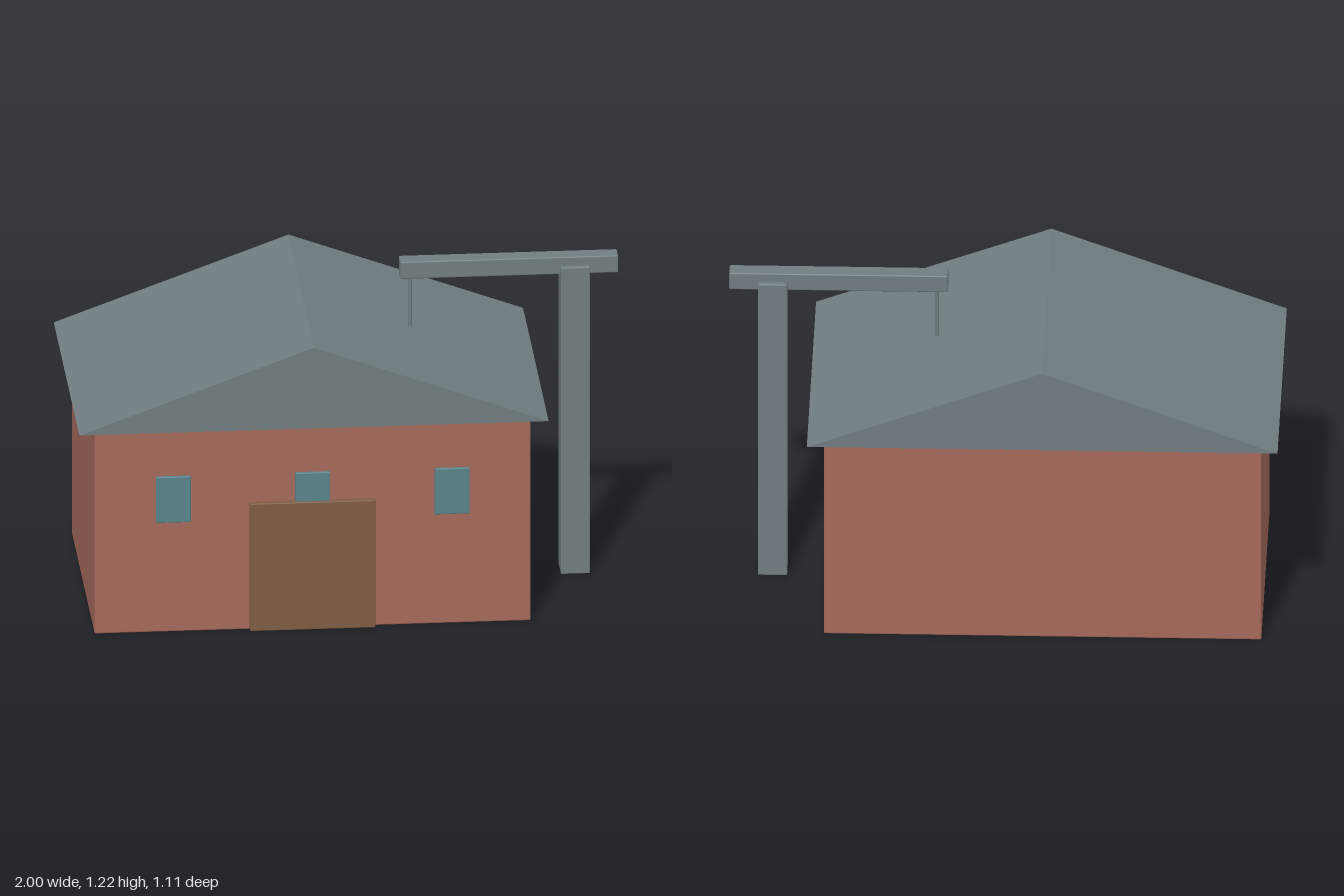
import * as THREE from 'three';
import { RoundedBoxGeometry } from 'three/addons/geometries/RoundedBoxGeometry.js';

function material(name, color) {
  const m = new THREE.MeshStandardMaterial({ color });
  m.name = name;
  return m;
}

export function createModel() {
  const brick = material('brick', 0xa6695b);
  const slate = material('slate grey', 0x717d81);
  const wood = material('door wood', 0x7e5c41);
  const glass = material('window glass', 0x58848b);

  const model = new THREE.Group();
  model.name = 'hoistHouse';

  const add = (name, geometry, mat) => {
    const mesh = new THREE.Mesh(geometry, mat);
    mesh.name = name;
    model.add(mesh);
    return mesh;
  };

  // Box with lightly softened edges, given by its extents on each axis
  const block = (name, mat, [x0, x1], [y0, y1], [z0, z1], bevel) => {
    const g = new RoundedBoxGeometry(x1 - x0, y1 - y0, z1 - z0, 2, bevel);
    g.translate((x0 + x1) / 2, (y0 + y1) / 2, (z0 + z1) / 2);
    return add(name, g, mat);
  };

  // House body
  block('walls', brick, [-0.94, 0.64], [0, 0.797], [-0.494, 0.494], 0.006);

  // Gabled roof with the ridge running front to back
  const gable = new THREE.Shape([
    new THREE.Vector2(-1, 0.797),
    new THREE.Vector2(0.7, 0.797),
    new THREE.Vector2(-0.15, 1.11),
  ]);
  const roof = new THREE.ExtrudeGeometry(gable, { depth: 1.11, bevelEnabled: false });
  roof.translate(0, 0, -0.555);
  add('roof', roof, slate);

  // Wide front door, covering the lower part of the middle window
  block('door', wood, [-0.378, 0.076], [0, 0.495], [0.492, 0.516], 0.004);
  for (const x of [-0.655, -0.15, 0.355]) {
    block('window', glass, [x - 0.063, x + 0.063], [0.428, 0.605], [0.492, 0.507], 0.003);
  }

  // Hoist beside the house: post, cross beam and hanging rope
  block('hoistPost', slate, [0.786, 0.892], [0, 1.19], [-0.053, 0.053], 0.004);
  block('hoistBeam', slate, [0.206, 0.996], [1.157, 1.224], [-0.033, 0.033], 0.005);
  const rope = new THREE.CylinderGeometry(0.006, 0.006, 0.2, 8);
  rope.translate(0.245, 1.06, 0);
  add('hoistRope', rope, slate);

  return model;
}
